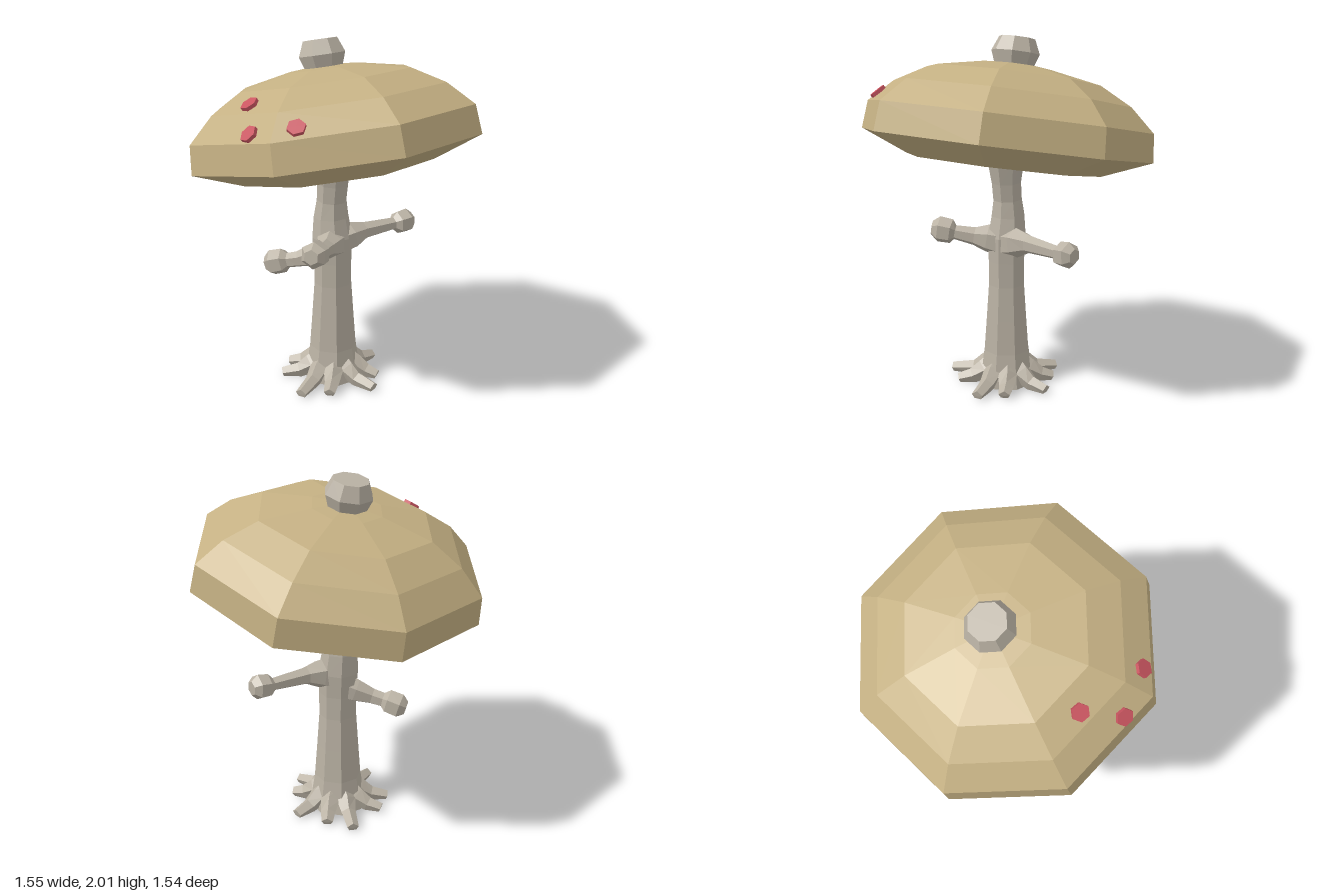
import * as THREE from 'three';

const mat = (color) => new THREE.MeshStandardMaterial({ color, flatShading: true, roughness: 1 });
const TILT = -0.207, TWIST = THREE.MathUtils.degToRad(26.4);

// Faceted limb swept through [x, y, z, radius] stations, closed at both ends, kept above ground
function limb(name, stations, sides, material, spin = 0) {
  const pts = stations.map((s) => new THREE.Vector3(s[0], s[1], s[2]));
  const n = pts.length, pos = [], idx = [];
  const axis = pts[n - 1].clone().sub(pts[0]).normalize();
  const ref = Math.abs(axis.y) > 0.8 ? new THREE.Vector3(1, 0, 0) : new THREE.Vector3(0, 1, 0);
  const push = (v) => pos.push(v.x, Math.max(0, v.y), v.z);
  pts.forEach((p, i) => {
    const t = pts[Math.min(n - 1, i + 1)].clone().sub(pts[Math.max(0, i - 1)]).normalize();
    const u = ref.clone().addScaledVector(t, -ref.dot(t)).normalize();
    const w = t.clone().cross(u);
    for (let j = 0; j < sides; j++) {
      const a = spin + (j / sides) * Math.PI * 2;
      push(p.clone().addScaledVector(u, Math.cos(a) * stations[i][3]).addScaledVector(w, Math.sin(a) * stations[i][3]));
    }
  });
  push(pts[0]);
  push(pts[n - 1]);
  for (let j = 0; j < sides; j++) {
    const k = (j + 1) % sides, end = (n - 1) * sides;
    for (let i = 0; i < n - 1; i++) {
      const a = i * sides + j, b = i * sides + k;
      idx.push(a, b, b + sides, a, b + sides, a + sides);
    }
    idx.push(n * sides, k, j, n * sides + 1, end + j, end + k);
  }
  const g = new THREE.BufferGeometry();
  g.setAttribute('position', new THREE.Float32BufferAttribute(pos, 3));
  g.setIndex(idx);
  g.computeVertexNormals();
  const m = new THREE.Mesh(g, material);
  m.name = name;
  return m;
}

// Eight-sided turned part
function turned(name, profile, material) {
  const g = new THREE.LatheGeometry(profile.map(([r, y]) => new THREE.Vector2(r, y)), 8, TWIST);
  const m = new THREE.Mesh(g, material);
  m.name = name;
  return m;
}

export function createModel() {
  const model = new THREE.Group();
  model.name = 'mushroomTree';
  const bark = mat(0xbab2a4), capMat = mat(0xc4b083), red = mat(0xc95560);

  // Trunk
  model.add(limb('trunk', [
    [0, 0, -0.02, 0.17], [0, 0.08, -0.02, 0.155], [0, 0.2, -0.02, 0.137], [0, 0.4, -0.02, 0.122],
    [0, 0.6, -0.02, 0.108], [0, 0.74, -0.02, 0.108], [0, 0.88, -0.025, 0.115], [0, 1.0, -0.035, 0.1],
    [0, 1.1, -0.03, 0.085], [0, 1.2, -0.02, 0.088], [0, 1.32, -0.015, 0.108], [0, 1.42, -0.015, 0.125], [0, 1.58, -0.03, 0.15],
  ], 8, bark, 0.2));

  // Roots fanning out around the foot
  const lengths = [0.3, 0.27, 0.32, 0.28, 0.34, 0.3, 0.28, 0.33, 0.27];
  lengths.forEach((len, i) => {
    const a = (i / lengths.length) * Math.PI * 2 + 0.2;
    const at = (r, y, size, turn = 0) => [Math.cos(a + turn) * r, y, Math.sin(a + turn) * r - 0.02, size];
    const bend = i % 2 ? 0.1 : -0.1;
    model.add(limb('root', [at(0.05, 0.13, 0.065), at(0.13, 0.075, 0.06), at(0.2, 0.035, 0.045, bend / 2), at(len, 0.015, 0.035, bend)], 5, bark));
  });

  // Knobbed branches
  model.add(limb('leftBranch', [
    [0, 0.85, -0.01, 0.095], [0.1, 0.87, 0.02, 0.085], [0.19, 0.88, 0.035, 0.052], [0.4, 0.88, 0.075, 0.038],
    [0.43, 0.88, 0.082, 0.068], [0.49, 0.885, 0.095, 0.073], [0.525, 0.885, 0.1, 0.042],
  ], 6, bark));
  model.add(limb('rightBranch', [
    [0, 0.85, -0.01, 0.095], [-0.09, 0.87, 0.045, 0.08], [-0.15, 0.88, 0.085, 0.053], [-0.245, 0.9, 0.14, 0.042],
    [-0.265, 0.905, 0.15, 0.072], [-0.33, 0.915, 0.18, 0.076], [-0.365, 0.92, 0.2, 0.043],
  ], 6, bark));
  model.add(limb('backBranch', [
    [0, 0.79, -0.02, 0.09], [-0.06, 0.755, -0.11, 0.07], [-0.12, 0.725, -0.18, 0.048], [-0.155, 0.71, -0.235, 0.045],
    [-0.17, 0.705, -0.26, 0.074], [-0.205, 0.685, -0.32, 0.076], [-0.225, 0.675, -0.35, 0.043],
  ], 6, bark));

  // Tilted cap: hollow underside, rim, dome
  const head = new THREE.Group();
  head.name = 'head';
  head.position.y = 1.41;
  head.rotation.x = TILT;
  const cap = turned('cap', [
    [0, 0.13], [0.15, 0.11], [0.55, -0.108], [0.82, 0], [0.803, 0.157],
    [0.665, 0.285], [0.485, 0.382], [0.2, 0.437], [0, 0.455],
  ], capMat);
  head.add(cap);

  // Knob on top of the cap
  head.add(turned('topKnob', [[0, 0.4], [0.095, 0.4], [0.135, 0.51], [0.1, 0.59], [0, 0.59]], bark));
  model.add(head);
  model.updateMatrixWorld(true);

  // Hexagonal spots set flush against the cap facets
  const ray = new THREE.Raycaster();
  for (const [x, z] of [[-0.555, -0.03], [-0.695, 0.14], [-0.59, 0.36]]) {
    ray.set(new THREE.Vector3(x, 3, z), new THREE.Vector3(0, -1, 0));
    const hit = ray.intersectObject(cap)[0];
    if (!hit) continue;
    const normal = hit.face.normal.clone().transformDirection(cap.matrixWorld);
    const spot = new THREE.Mesh(new THREE.CylinderGeometry(0.048, 0.048, 0.04, 6), red);
    spot.name = 'spot';
    spot.position.copy(hit.point);
    spot.quaternion.setFromUnitVectors(new THREE.Vector3(0, 1, 0), normal);
    model.add(spot);
  }
  return model;
}
